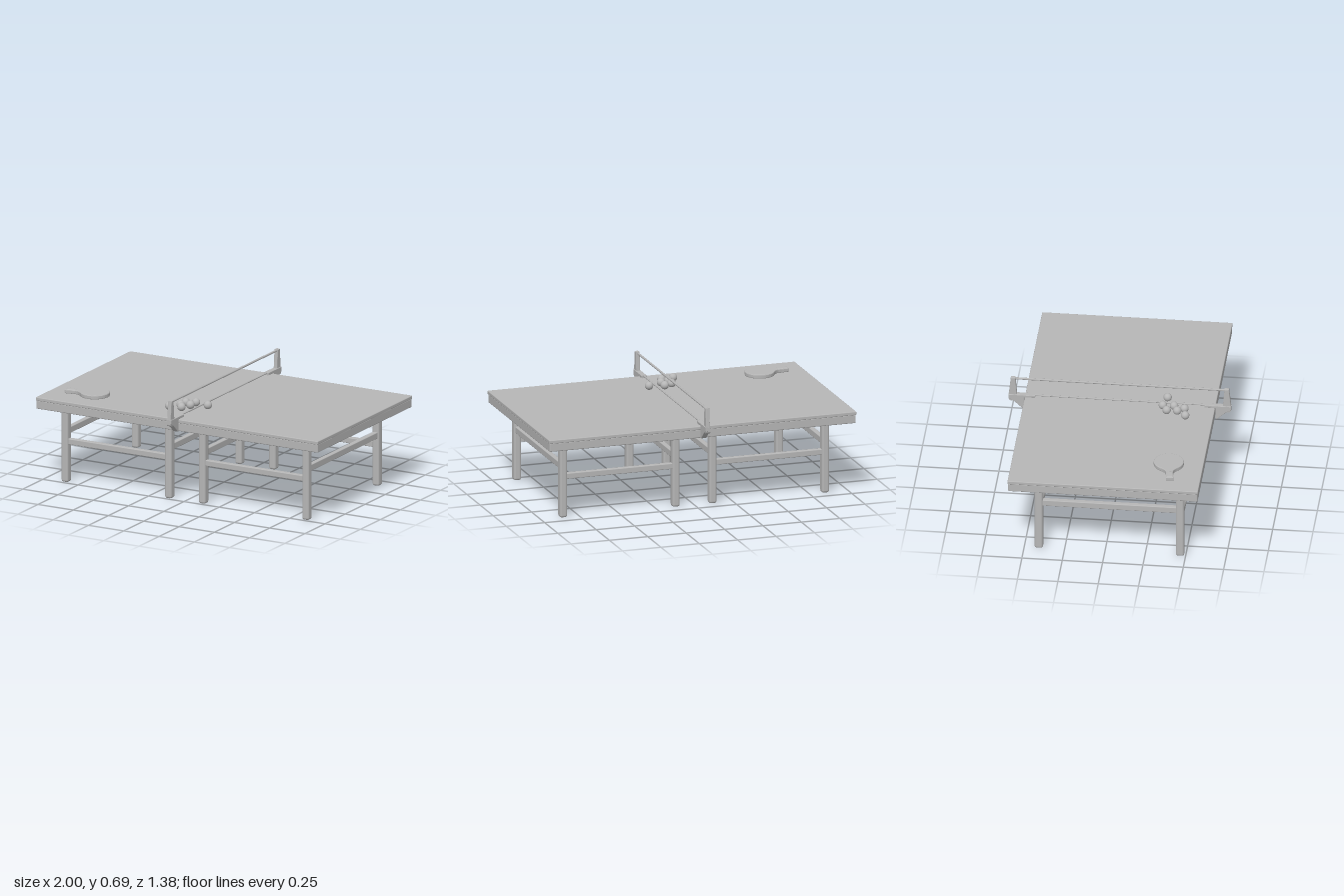
import * as THREE from 'three';
import { RoundedBoxGeometry } from 'three/addons/geometries/RoundedBoxGeometry.js';

const grey = new THREE.MeshStandardMaterial({ color: 0xb6b6b6 });
grey.name = 'plain grey';

export function createModel() {
  const model = new THREE.Group();
  model.name = 'tableTennisTable';

  const add = (name, geometry, x = 0, y = 0, z = 0, parent = model) => {
    const mesh = new THREE.Mesh(geometry, grey);
    mesh.name = name;
    mesh.position.set(x, y, z);
    parent.add(mesh);
    return mesh;
  };
  // box given by its limits on each axis, optionally with rounded edges
  const span = (name, x0, x1, y0, y1, z0, z1, r = 0) => {
    const size = [x1 - x0, y1 - y0, z1 - z0];
    const geometry = r ? new RoundedBoxGeometry(...size, 2, r) : new THREE.BoxGeometry(...size);
    return add(name, geometry, (x0 + x1) / 2, (y0 + y1) / 2, (z0 + z1) / 2);
  };

  // table top and the apron below it
  span('tableTop', -1, 1, 0.527, 0.55, -0.59, 0.59, 0.005);
  for (const s of [-1, 1]) {
    span('longApron', -0.997, 0.997, 0.475, 0.53, s * 0.572 - 0.015, s * 0.572 + 0.015, 0.006);
    span('endApron', s * 0.982 - 0.015, s * 0.982 + 0.015, 0.475, 0.53, -0.585, 0.585, 0.006);
  }

  // lattice of beams under the top
  const legZ = [-0.41, 0.465];
  for (const z of [legZ[0], -0.12, 0.17, legZ[1]])
    span('longBeam', -0.975, 0.975, 0.487, 0.53, z - 0.02, z + 0.02);
  for (const x of [0.12, 0.365, 0.61, 0.853])
    for (const s of [-1, 1])
      span('crossBeam', s * x - 0.02, s * x + 0.02, 0.483, 0.53, -0.565, 0.565);

  // two trestles, each with four legs and a ring of rails
  for (const s of [-1, 1]) {
    for (const x of [s * 0.12, s * 0.853]) {
      for (const z of legZ)
        span('leg', x - 0.024, x + 0.024, 0, 0.5, z - 0.026, z + 0.026, 0.014);
      span('endRail', x - 0.016, x + 0.016, 0.305, 0.346, legZ[0], legZ[1], 0.005);
    }
    for (const z of legZ)
      span('sideRail', s * 0.4865 - 0.366, s * 0.4865 + 0.366, 0.243, 0.28, z - 0.016, z + 0.016, 0.005);
  }

  // net cords
  const cord = (name, y, r) => {
    add(name, new THREE.CylinderGeometry(r, r, 1.32, 10), 0, y, 0).rotation.x = Math.PI / 2;
  };
  cord('upperNetCord', 0.679, 0.007);
  cord('lowerNetCord', 0.565, 0.005);

  // net posts with clamps, cut from side profiles
  const plate = (points, width, bevel) => {
    const shape = new THREE.Shape(points.map(([z, y]) => new THREE.Vector2(z, y)));
    const g = new THREE.ExtrudeGeometry(shape, {
      depth: width - 2 * bevel, bevelThickness: bevel, bevelSize: bevel, bevelOffset: -bevel, bevelSegments: 2,
    });
    g.translate(0, 0, bevel - width / 2);
    return g.rotateY(-Math.PI / 2);
  };
  for (const turn of [0, Math.PI]) {
    const post = new THREE.Group();
    post.name = 'netPost';
    post.rotation.y = turn;
    model.add(post);
    add('upright', plate([[0.637, 0.555], [0.69, 0.555], [0.676, 0.688], [0.648, 0.688]], 0.025, 0.004), 0, 0, 0, post);
    add('clamp', plate([
      [0.525, 0.554], [0.592, 0.552], [0.592, 0.477], [0.605, 0.477], [0.655, 0.523],
      [0.69, 0.542], [0.69, 0.57], [0.525, 0.57],
    ], 0.034, 0.003), 0, 0, 0, post);
    add('clampScrew', new THREE.CylinderGeometry(0.014, 0.014, 0.03, 12), 0, 0.54, 0.674, post).rotation.z = Math.PI / 2;
  }

  // bat: a round blade that narrows into a handle
  const outline = new THREE.Shape();
  const a = 2.55;
  const r = 0.093;
  outline.absarc(0, 0, r, -a, a, false);
  outline.quadraticCurveTo(-0.095, 0.028, -0.12, 0.022);
  outline.lineTo(-0.19, 0.025);
  outline.lineTo(-0.19, -0.025);
  outline.lineTo(-0.12, -0.022);
  outline.quadraticCurveTo(-0.095, -0.028, r * Math.cos(a), -r * Math.sin(a));
  const blade = new THREE.ExtrudeGeometry(outline, {
    depth: 0.016, bevelThickness: 0.005, bevelSize: 0.005, bevelOffset: -0.005, bevelSegments: 2, curveSegments: 32,
  });
  blade.rotateX(-Math.PI / 2);
  const bat = new THREE.Group();
  bat.name = 'bat';
  bat.position.set(-0.7, 0.555, 0.378);
  bat.rotation.y = 0.14;
  model.add(bat);
  add('batBlade', blade, 0, 0, 0, bat);
  add('batGrip', new RoundedBoxGeometry(0.075, 0.03, 0.046, 2, 0.01), -0.153, 0.008, 0, bat);

  // balls
  const ball = new THREE.SphereGeometry(0.026, 24, 16);
  const spots = [[-0.045, 0.27], [0.05, 0.29], [-0.1, 0.3], [-0.045, 0.34], [-0.1, 0.365], [-0.07, 0.407], [-0.15, 0.42]];
  for (const [x, z] of spots) add('ball', ball, x, 0.574, z);

  return model;
}
